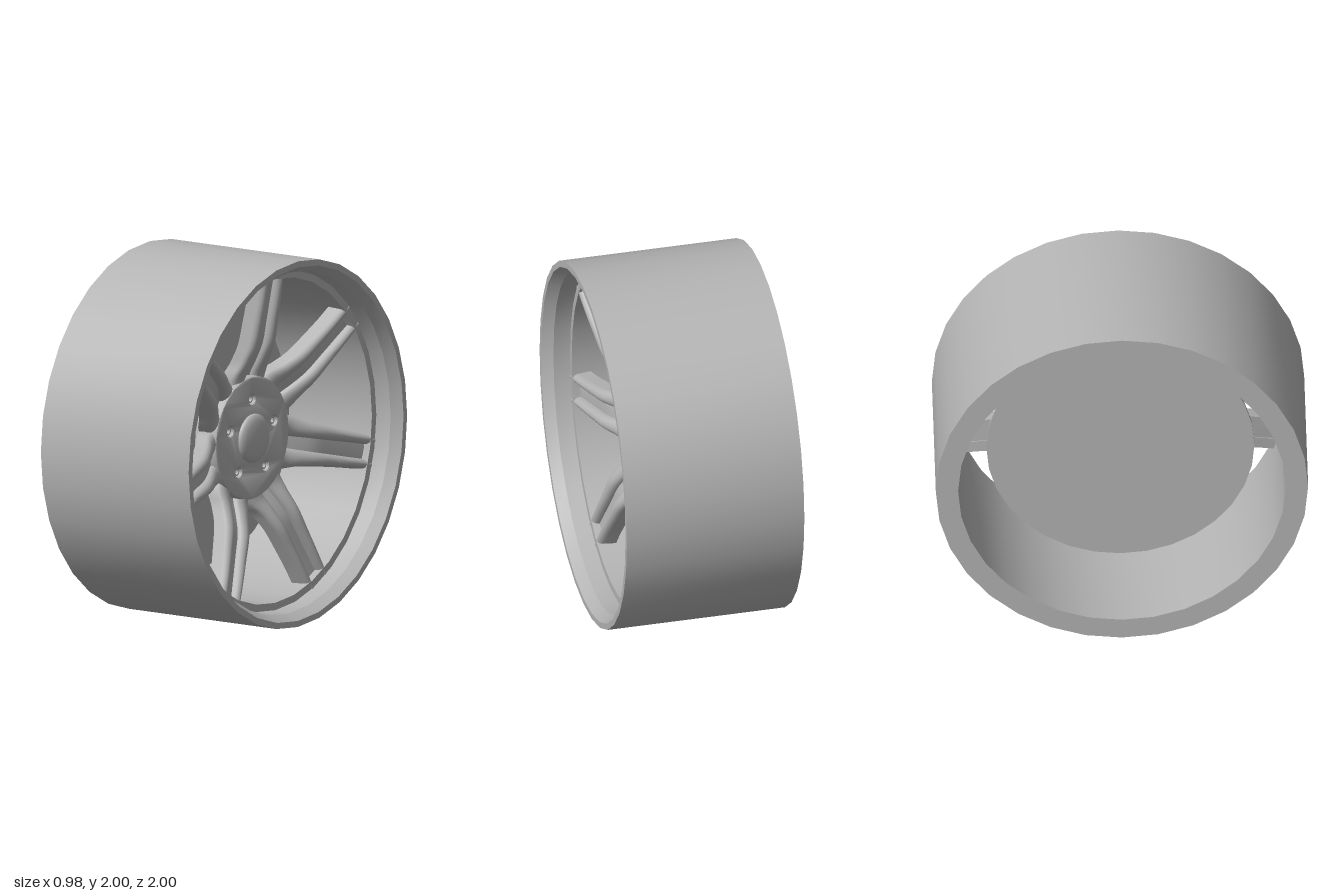
import * as THREE from 'three';
import { toCreasedNormals } from 'three/addons/utils/BufferGeometryUtils.js';

const TAU = Math.PI * 2;

// Revolve a [radius, z] profile about the wheel axis (local z)
function revolve(profile, segments, crease = 0.5) {
  const g = new THREE.LatheGeometry(profile.map(([r, z]) => new THREE.Vector2(r, z)), segments);
  g.rotateX(Math.PI / 2);
  return toCreasedNormals(g, crease);
}

// Sweep a bar with a rounded front and flat back along +y.
// stations: [y, front z, centre x, half width]; depth: bar thickness; round: height of the rounded front
function bar(stations, depth, round, side) {
  const path = new THREE.CatmullRomCurve3(stations.map(([y, z]) => new THREE.Vector3(0, y, z)));
  const size = new THREE.CatmullRomCurve3(stations.map(([, , c, h]) => new THREE.Vector3(c, h, 0)));
  const rows = 18, arc = 10, n = arc + 3;
  const pos = [], idx = [];
  for (let r = 0; r <= rows; r++) {
    const p = path.getPoint(r / rows), s = size.getPoint(r / rows);
    const c = s.x * side, h = s.y;
    for (let i = 0; i <= arc; i++) {
      const a = (i / arc) * Math.PI;
      pos.push(c + h * Math.cos(a), p.y, p.z - round + round * Math.sin(a));
    }
    pos.push(c - h - 0.006, p.y, p.z - depth, c + h + 0.006, p.y, p.z - depth);
  }
  for (let r = 0; r < rows; r++) {
    for (let i = 0; i < n; i++) {
      const a = r * n + i, b = r * n + (i + 1) % n;
      idx.push(a, a + n, b, b, a + n, b + n);
    }
  }
  // End caps
  for (let i = 1; i < n - 1; i++) {
    const e = rows * n;
    idx.push(0, i, i + 1, e, e + i + 1, e + i);
  }
  const g = new THREE.BufferGeometry();
  g.setAttribute('position', new THREE.Float32BufferAttribute(pos, 3));
  g.setIndex(idx);
  return toCreasedNormals(g, 0.7);
}

export function createModel() {
  const grey = new THREE.MeshStandardMaterial({ color: 0xb4b4b4 });
  grey.name = 'plain grey';

  const model = new THREE.Group();
  model.name = 'wheel';
  // Local z is the axle; turn it to face +x
  const wheel = new THREE.Group();
  wheel.name = 'wheelAssembly';
  wheel.rotation.y = Math.PI / 2;
  wheel.position.y = 1;
  model.add(wheel);

  const add = (name, geometry, parent = wheel) => {
    const m = new THREE.Mesh(geometry, grey);
    m.name = name;
    parent.add(m);
    return m;
  };

  // Barrel with a chamfered lip and an inner step
  add('rim', revolve([
    [0.88, -0.49], [1, -0.49], [1, 0.49], [0.967, 0.49], [0.932, 0.43],
    [0.925, 0.34], [0.885, 0.34], [0.88, -0.49],
  ], 32, 0.4));

  // Thin disc behind the spokes
  add('brakeDisc', revolve([[0, -0.11], [0.72, -0.11], [0.72, -0.09], [0, -0.09]], 32));

  // Hub plate with five bolt holes
  const plate = new THREE.Shape();
  plate.absarc(0, 0, 0.325, 0, TAU, false);
  const bolts = [];
  for (let i = 0; i < 5; i++) {
    const a = Math.PI / 2 + (i * TAU) / 5;
    const x = 0.21 * Math.cos(a), y = 0.21 * Math.sin(a);
    bolts.push([x, y]);
    const hole = new THREE.Path();
    hole.absarc(x, y, 0.037, 0, TAU, true);
    plate.holes.push(hole);
  }
  const hub = new THREE.ExtrudeGeometry(plate, {
    depth: 0.06, curveSegments: 24, bevelEnabled: true,
    bevelThickness: 0.02, bevelSize: 0.012, bevelSegments: 3,
  });
  hub.translate(0, 0, 0.11);
  add('hubPlate', toCreasedNormals(hub, 0.6));
  add('hubBack', revolve([[0, 0.06], [0.35, 0.06], [0.35, 0.12], [0, 0.12]], 28));

  // Domed centre cap
  add('centreCap', revolve([
    [0.132, 0.17], [0.132, 0.2], [0.125, 0.211], [0.095, 0.222], [0.05, 0.229], [0, 0.232],
  ], 32, 0.7));

  // Hollow bolts sunk into the holes
  const boltGeometry = revolve([
    [0.022, 0.11], [0.022, 0.175], [0.014, 0.175], [0.012, 0.15], [0, 0.15],
  ], 12, 0.7);
  for (const [x, y] of bolts) add('bolt', boltGeometry).position.set(x, y, 0);

  // Seven double spokes, each two rounded bars joined by a recessed web
  const rodStations = [
    [0.24, 0.178, 0.085, 0.055], [0.33, 0.188, 0.09, 0.058], [0.42, 0.232, 0.08, 0.045],
    [0.52, 0.276, 0.075, 0.038], [0.64, 0.3, 0.071, 0.033], [0.78, 0.325, 0.068, 0.028],
    [0.925, 0.345, 0.066, 0.026],
  ];
  const rods = [-1, 1].map((side) => bar(rodStations, 0.1, 0.04, side));
  const web = bar(
    rodStations.map(([y, z]) => [y === 0.925 ? 0.885 : y, z - 0.045, 0, 0.06]),
    0.05, 0.004, 1,
  );
  for (let i = 0; i < 7; i++) {
    const spoke = new THREE.Group();
    spoke.name = 'spoke';
    spoke.rotation.z = (i * TAU) / 7;
    rods.forEach((g) => add('spokeBar', g, spoke));
    add('spokeWeb', web, spoke);
    wheel.add(spoke);
  }

  return model;
}
